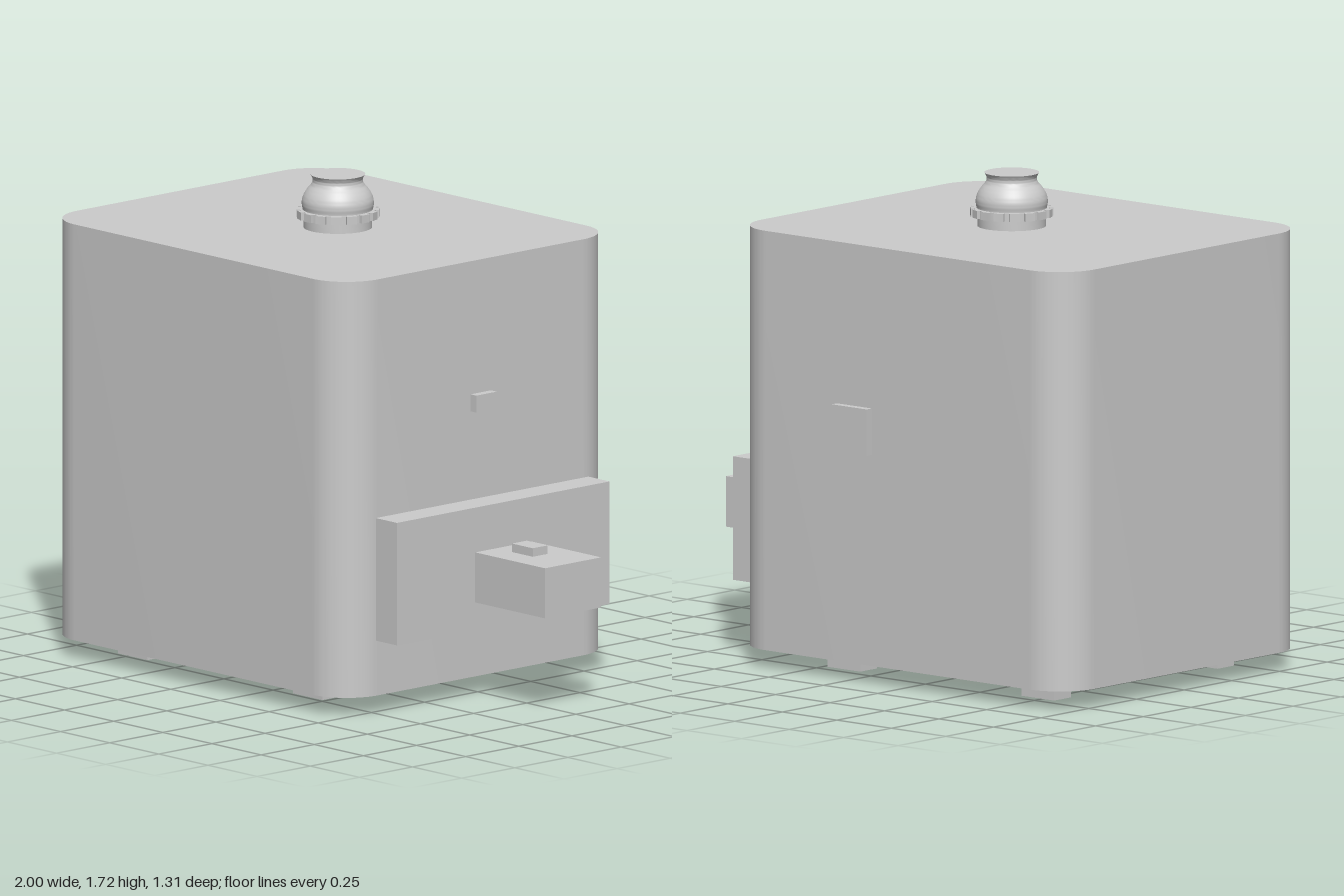
import * as THREE from 'three';
import { toCreasedNormals } from 'three/addons/utils/BufferGeometryUtils.js';

const ZC = 0.0135; // middle of the cabinet in z
const grey = new THREE.MeshStandardMaterial({ color: 0xcccccc });

export function createModel() {
  const model = new THREE.Group();

  function add(name, geometry, parent = model) {
    const mesh = new THREE.Mesh(geometry, grey);
    mesh.name = name;
    parent.add(mesh);
    return mesh;
  }
  // Box given by its limits on each axis
  function box(name, [x0, x1], [y0, y1], [z0, z1]) {
    const mesh = add(name, new THREE.BoxGeometry(x1 - x0, y1 - y0, z1 - z0));
    mesh.position.set((x0 + x1) / 2, (y0 + y1) / 2, (z0 + z1) / 2);
    return mesh;
  }
  const across = (half) => [ZC - half, ZC + half];

  // Cabinet: rounded rectangle in plan, extruded upwards
  const w = 0.765, d = 0.643, r = 0.16;
  const plan = new THREE.Shape();
  plan.absarc(w - r, d - r, r, 0, Math.PI / 2);
  plan.absarc(-w + r, d - r, r, Math.PI / 2, Math.PI);
  plan.absarc(-w + r, -d + r, r, Math.PI, Math.PI * 1.5);
  plan.absarc(w - r, -d + r, r, Math.PI * 1.5, Math.PI * 2);
  const cabinetGeometry = new THREE.ExtrudeGeometry(plan, { depth: 1.47, bevelEnabled: false, curveSegments: 16 });
  cabinetGeometry.rotateX(-Math.PI / 2);
  const cabinet = add('cabinet', toCreasedNormals(cabinetGeometry, 0.6));
  cabinet.position.set(-0.235, 0.065, ZC);

  // Four feet
  for (const x of [-0.73, 0.16])
    for (const side of [-1, 1]) {
      const z = ZC + side * 0.428;
      box('foot', [x - 0.075, x + 0.075], [0, 0.07], [z - 0.044, z + 0.044]);
    }

  // Side hatch with its gasket, protruding spout and latch
  box('hatchGasket', [0.52, 0.54], [0.295, 0.665], across(0.465));
  box('hatch', [0.537, 0.645], [0.262, 0.695], across(0.5));
  box('spout', [0.645, 1], [0.36, 0.537], across(0.132));
  box('spoutLatch', [0.727, 0.833], [0.535, 0.567], across(0.035));

  // Side button and rear plate
  box('sideButton', [0.525, 0.56], [1.005, 1.065], across(0.048));
  box('rearPlate', [-0.118, 0.042], [0.805, 0.968], [-0.657, -0.62]);

  // Top cap: turned profile (radius, height), closed by a flat lid
  const cap = new THREE.Group();
  cap.name = 'topCap';
  cap.position.set(-0.197, 1.535, ZC);
  model.add(cap);
  const lower = [[0, 0], [0.119, 0], [0.119, 0.036], [0.132, 0.036], [0.132, 0.064], [0.122, 0.064]];
  const dome = new THREE.SplineCurve([
    [0.122, 0.066], [0.125, 0.085], [0.121, 0.108], [0.108, 0.132], [0.093, 0.15], [0.087, 0.163], [0.088, 0.174], [0.095, 0.187],
  ].map(([x, y]) => new THREE.Vector2(x, y))).getPoints(24);
  const profile = [...lower.map(([x, y]) => new THREE.Vector2(x, y)), ...dome, new THREE.Vector2(0, 0.187)];
  add('capBody', toCreasedNormals(new THREE.LatheGeometry(profile, 48), 0.6), cap);

  // Grip tabs around the cap collar
  const tabs = 16;
  for (let i = 0; i < tabs; i++) {
    const a = (i / tabs) * Math.PI * 2;
    const tab = add('gripTab', new THREE.BoxGeometry(0.036, 0.028, 0.016), cap);
    tab.position.set(Math.sin(a) * 0.135, 0.05, Math.cos(a) * 0.135);
    tab.rotation.y = a;
  }
  return model;
}
